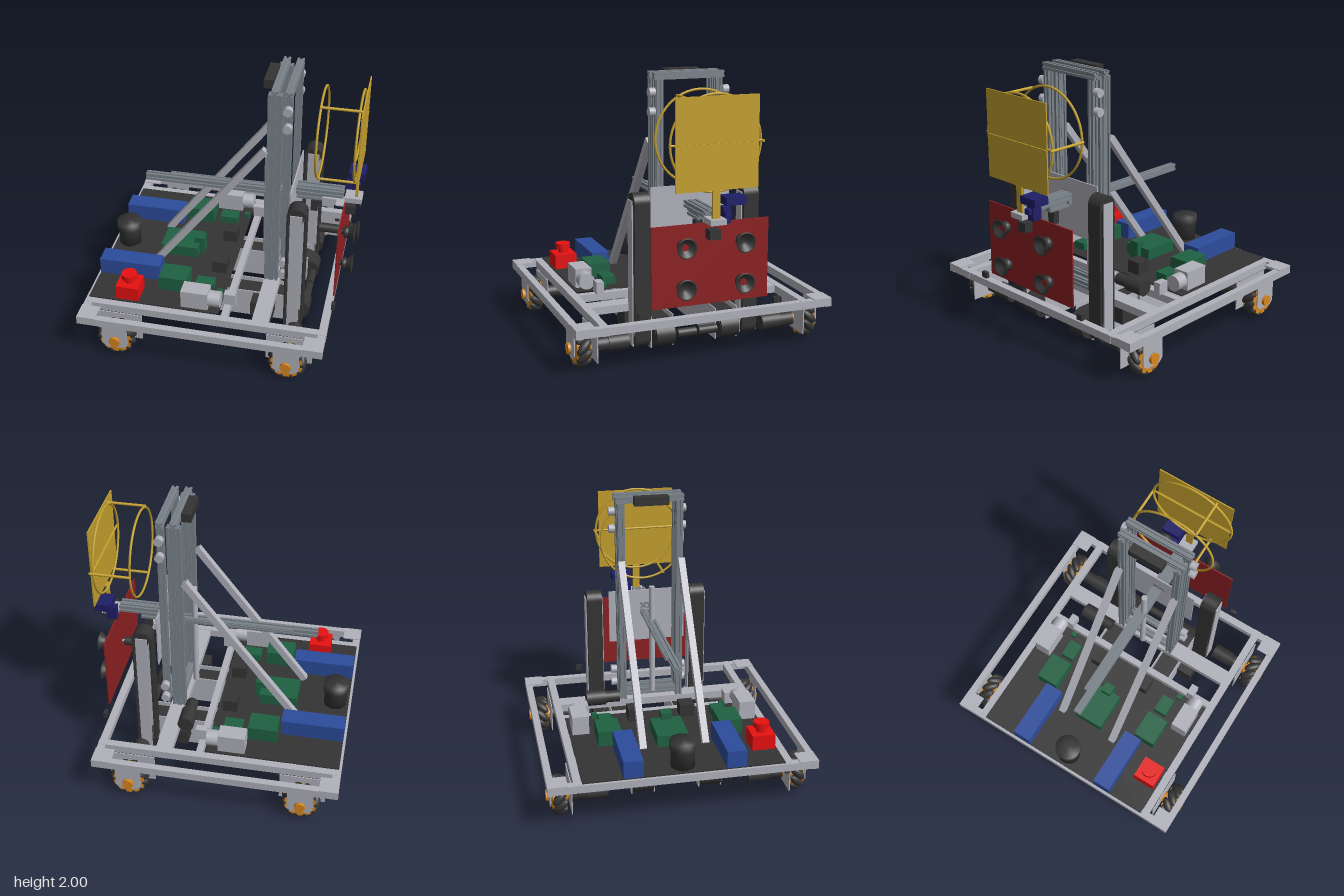
import * as THREE from 'three';

const paint = (name, color) => Object.assign(new THREE.MeshStandardMaterial({ color }), { name });

export function createModel() {
  const root = new THREE.Group();
  root.name = 'liftRobot';
  const alu = paint('lightAluminium', 0xb0b1ba), steel = paint('slottedSteel', 0x7a838a);
  const black = paint('blackRubber', 0x343434), maroon = paint('maroonPlate', 0x8c2022);
  const red = paint('signalRed', 0xe81010), blue = paint('batteryBlue', 0x2c4c9c);
  const green = paint('circuitGreen', 0x1f6142), gold = paint('goldFrame', 0xc4a02e);
  const navy = paint('servoNavy', 0x1e1e68), orange = paint('hubOrange', 0xd8861c);

  const add = (name, geo, mat, x = 0, y = 0, z = 0, parent = root) => {
    const mesh = new THREE.Mesh(geo, mat);
    mesh.name = name;
    mesh.position.set(x, y, z);
    parent.add(mesh);
    return mesh;
  };
  // Box given by its limits on each axis
  const box = (name, mat, x0, x1, y0, y1, z0, z1, parent) =>
    add(name, new THREE.BoxGeometry(x1 - x0, y1 - y0, z1 - z0), mat, (x0 + x1) / 2, (y0 + y1) / 2, (z0 + z1) / 2, parent);
  // Cylinder along an axis, centred on a point
  const turn = (geo, axis) => axis === 'x' ? geo.rotateZ(-Math.PI / 2) : axis === 'z' ? geo.rotateX(Math.PI / 2) : geo;
  const rod = (name, mat, axis, r, len, x, y, z, parent, r2 = r) =>
    add(name, turn(new THREE.CylinderGeometry(r2, r, len, 28), axis), mat, x, y, z, parent);
  // Slotted bar: square section with a groove in every side
  const slotted = (name, axis, size, len, x, y, z) => {
    const h = size / 2, g = size * 0.14, d = size * 0.22, pts = [];
    for (let i = 0; i < 4; i++) {
      for (const [a, b] of [[-h, -h], [-g, -h], [-g, -h + d], [g, -h + d], [g, -h]])
        pts.push(new THREE.Vector2(a, b).rotateAround(new THREE.Vector2(), i * Math.PI / 2));
    }
    const geo = new THREE.ExtrudeGeometry(new THREE.Shape(pts), { depth: len, bevelEnabled: false });
    geo.translate(0, 0, -len / 2);
    if (axis === 'x') geo.rotateY(Math.PI / 2);
    if (axis === 'y') geo.rotateX(-Math.PI / 2);
    return add(name, geo, steel, x, y, z);
  };
  // Closed belt loop lying along x, extruded in z
  const loopPath = (path, half, r) => {
    path.absarc(half, 0, r, -Math.PI / 2, Math.PI / 2, false);
    path.absarc(-half, 0, r, Math.PI / 2, Math.PI * 1.5, false);
    path.closePath();
    return path;
  };
  const beltGeo = (len, r, t, width) => {
    const s = loopPath(new THREE.Shape(), len / 2 - r, r);
    s.holes.push(loopPath(new THREE.Path(), len / 2 - r, r - t));
    return new THREE.ExtrudeGeometry(s, { depth: width, bevelEnabled: false, curveSegments: 14 }).translate(0, 0, -width / 2);
  };

  // Chassis frame
  for (const s of [1, -1]) {
    box('outerRail', alu, -0.97, 0.83, 0.295, 0.355, s * 0.935 - 0.025, s * 0.935 + 0.025);
    box('innerRail', alu, -0.95, 0.83, 0.295, 0.355, s * 0.75 - 0.028, s * 0.75 + 0.028);
    for (const [a, b] of [[-0.97, -0.83], [0.685, 0.83]])
      box('cornerPlate', alu, a, b, 0.352, 0.36, s * 0.89 - 0.07, s * 0.89 + 0.07);
  }
  for (const [a, b] of [[-0.968, -0.91], [-0.62, -0.57], [-0.27, -0.22], [0.05, 0.1], [0.28, 0.4], [0.772, 0.828]]) {
    const end = Math.abs(a) > 0.7 ? 0.93 : 0.73;
    box('crossRail', alu, a, b, 0.297, 0.353, -end, end);
  }
  box('deck', black, -0.95, 0.03, 0.354, 0.362, -0.72, 0.72);

  // Wheels with slanted rollers, brackets and drive motors
  for (const x of [-0.7, 0.57]) for (const s of [1, -1]) {
    const wheel = new THREE.Group();
    wheel.name = 'rollerWheel';
    wheel.position.set(x, 0.147, s * 0.86);
    root.add(wheel);
    rod('wheelCore', orange, 'z', 0.075, 0.09, 0, 0, 0, wheel);
    for (const e of [1, -1]) {
      rod('hubDisc', orange, 'z', 0.118, 0.006, 0, 0, e * 0.046, wheel);
      rod('hubBoss', orange, 'z', 0.04, 0.045, 0, 0, e * 0.07, wheel);
    }
    for (let i = 0; i < 10; i++) {
      const arm = new THREE.Group();
      arm.name = 'rollerMount';
      arm.rotation.z = i * Math.PI / 5;
      wheel.add(arm);
      const roller = add('roller', new THREE.SphereGeometry(1, 14, 10), black, 0, 0.11, 0, arm);
      roller.scale.set(0.032, 0.034, 0.07);
      roller.rotation.y = s * Math.sign(x) * Math.PI / 4;
    }
    const p = new THREE.Shape([[-0.095, 0.15], [-0.095, -0.03], [-0.065, -0.06], [0.065, -0.06], [0.095, -0.03], [0.095, 0.15]]
      .map(([a, b]) => new THREE.Vector2(a, b)));
    add('outerBracket', new THREE.ExtrudeGeometry(p, { depth: 0.008, bevelEnabled: false }), alu, x, 0.147, s * 0.926 - 0.004);
    rod('axleCap', steel, 'z', 0.04, 0.02, x, 0.147, s * 0.926);
    box('innerBracket', alu, x - 0.17, x + 0.17, 0.075, 0.295, s * 0.785 - 0.004, s * 0.785 + 0.004);
    rod('motorGearbox', black, 'z', 0.05, 0.11, x, 0.147, s * 0.715);
    rod('driveMotor', black, 'z', 0.06, 0.15, x, 0.147, s * 0.588);
  }

  // Floor belts, vertical belts and their side plates
  for (const s of [1, -1]) {
    add('floorBelt', beltGeo(1.32, 0.1, 0.014, 0.145), black, -0.04, 0.16, s * 0.247);
    for (const z of [0.165, 0.33]) box('floorBeltSide', alu, -0.66, 0.56, 0.06, 0.29, s * z - 0.004, s * z + 0.004);
    for (const x of [-0.64, 0.56]) rod('floorPulley', black, 'z', 0.085, 0.14, x, 0.16, s * 0.247);
    rod('beltMotor', black, 'z', 0.032, 0.14, 0.6, 0.16, s * 0.08);
    for (const x of [-0.21, 0.077]) box('hanger', alu, x - 0.01, x + 0.01, 0.13, 0.295, s * 0.35 - 0.012, s * 0.35 + 0.012);
    add('liftBelt', beltGeo(1.11, 0.07, 0.014, 0.115).rotateZ(Math.PI / 2), black, 0.54, 0.635, s * 0.41);
    for (const z of [0.347, 0.475]) box('liftBeltSide', alu, 0.497, 0.583, 0.1, 1.14, s * z - 0.004, s * z + 0.004);
    for (const y of [0.15, 1.12]) rod('liftPulley', black, 'z', 0.056, 0.112, 0.54, y, s * 0.41);
    box('beltDrive', black, 0.22, 0.39, 0.17, 0.293, s * 0.41 - 0.06, s * 0.41 + 0.06);
    for (const x of [-0.925, 0.717]) box('edgeSensor', black, x - 0.018, x + 0.018, 0.265, 0.295, s * 0.74 - 0.015, s * 0.74 + 0.015);
    box('frontSensor', black, 0.828, 0.855, 0.385, 0.43, s * 0.505 - 0.025, s * 0.505 + 0.025);
  }

  // Deck equipment
  for (const s of [1, -1]) {
    box('battery', blue, -0.95, -0.485, 0.362, 0.49, s * 0.365 - 0.07, s * 0.365 + 0.07);
    box('motorBoard', green, -0.465, -0.25, 0.362, 0.475, s * 0.45 - 0.085, s * 0.45 + 0.085);
    box('smallBoard', green, -0.2, -0.06, 0.362, 0.42, s * 0.435 - 0.05, s * 0.435 + 0.05);
    box('tinyBoard', green, -0.02, 0.02, 0.362, 0.4, s * 0.5 - 0.02, s * 0.5 + 0.02);
    box('pumpBody', alu, -0.255, -0.055, 0.362, 0.505, s * 0.635 - 0.062, s * 0.635 + 0.062);
    rod('pumpHead', alu, 'x', 0.06, 0.09, -0.012, 0.43, s * 0.635);
    box('pumpValve', alu, 0.045, 0.13, 0.355, 0.445, s * 0.565 - 0.028, s * 0.565 + 0.028);
    box('relayBox', black, -0.12, -0.01, 0.362, 0.46, s * 0.2 - 0.055, s * 0.2 + 0.055);
  }
  box('mainBoard', green, -0.56, -0.27, 0.362, 0.45, -0.12, 0.11);
  box('boardPort', green, -0.31, -0.23, 0.362, 0.5, -0.04, 0.04);
  const can = [[0, 0], [0.085, 0], [0.085, 0.13], [0.095, 0.135], [0.095, 0.2], [0, 0.2]].map(([a, b]) => new THREE.Vector2(a, b));
  add('scannerCan', new THREE.LatheGeometry(can, 32), black, -0.845, 0.362, 0);
  box('stopBox', red, -0.745, -0.575, 0.362, 0.475, 0.535, 0.705);
  rod('stopStem', red, 'y', 0.035, 0.04, -0.66, 0.493, 0.62);
  rod('stopButton', red, 'y', 0.058, 0.04, -0.66, 0.53, 0.62);
  rod('winchMotor', black, 'z', 0.06, 0.15, 0.22, 0.42, -0.455);
  rod('winchGearbox', black, 'z', 0.045, 0.11, 0.22, 0.42, -0.325);

  // Tower posts, cross bars, rollers and diagonal braces
  for (const s of [1, -1]) {
    for (const [x, y0, y1] of [[0.306, 0.355, 1.95], [0.358, 0.355, 1.95], [0.428, 0.37, 1.94]])
      slotted('towerPost', 'y', 0.05, y1 - y0, x, (y0 + y1) / 2, s * 0.222);
    for (const y of [0.45, 0.56, 1.72, 1.855]) rod('guideRoller', alu, 'z', 0.032, 0.045, 0.428, y, s * 0.275);
    const a = new THREE.Vector3(-0.58, 0.37, s * 0.23), b = new THREE.Vector3(0.27, 1.5, s * 0.23), d = b.clone().sub(a);
    const brace = add('brace', new THREE.BoxGeometry(d.length(), 0.05, 0.05), alu, (a.x + b.x) / 2, (a.y + b.y) / 2, a.z);
    brace.rotation.z = Math.atan2(d.y, d.x);
  }
  for (const x of [0.33, 0.428]) {
    slotted('topBar', 'z', 0.05, 0.52, x, 1.965, 0);
    slotted('bottomBar', 'z', 0.05, 0.4, x, 0.4, 0);
  }
  box('topController', black, 0.23, 0.3, 1.935, 2.0, -0.13, 0.13);
  rod('liftPiston', alu, 'y', 0.022, 0.87, 0.248, 0.865, 0);
  box('carriagePlate', alu, 0.462, 0.472, 0.78, 1.2, -0.3, 0.3);

  // Sliding arm
  slotted('slideArm', 'x', 0.052, 1.34, -0.01, 1.012, 0);
  slotted('slideRail', 'x', 0.025, 1, 0, 1.025, -0.04);
  for (const s of [1, -1]) slotted('frontArm', 'x', 0.05, 0.36, 0.64, 1.068, s * 0.026);
  box('armStop', black, 0.583, 0.632, 0.89, 0.98, -0.03, 0.03);
  rod('armMotor', black, 'x', 0.034, 0.155, 0.73, 0.727, 0);
  rod('armShaft', alu, 'x', 0.01, 0.03, 0.82, 0.727, 0);

  // Suction plate with four cups
  box('suctionPlate', maroon, 0.829, 0.839, 0.44, 1.012, -0.43, 0.435);
  for (const y of [0.585, 0.872]) for (const s of [1, -1]) {
    const cup = [[0.02, 0], [0.02, 0.02], [0.045, 0.022], [0.045, 0.045], [0.035, 0.055], [0.07, 0.09], [0.072, 0.098],
      [0.06, 0.095], [0.028, 0.06], [0, 0.06]].map(([r, h]) => new THREE.Vector2(r, h));
    add('suctionCup', turn(new THREE.LatheGeometry(cup, 28), 'x'), black, 0.838, y, s * 0.216);
    if ((y > 0.7) === (s > 0)) rod('cupSeal', maroon, 'x', 0.024, 0.006, 0.901, y, s * 0.216);
  }
  box('plateCamera', black, 0.84, 0.91, 0.905, 0.975, -0.038, 0.042);

  // Servo wrist
  box('wristBracket', alu, 0.83, 0.955, 1.015, 1.055, -0.06, 0.055);
  box('lowerServo', navy, 0.825, 0.9, 1.01, 1.12, -0.115, -0.06);
  box('lowerServoEar', navy, 0.9, 0.93, 1.06, 1.1, -0.105, -0.06);
  box('upperServo', navy, 0.84, 0.96, 1.145, 1.2, -0.205, -0.055);
  box('wristStem', gold, 0.905, 0.922, 1.05, 1.25, -0.028, 0.028);

  // Hoop cage and panel
  for (const x of [0.635, 0.902])
    add('hoop', new THREE.TorusGeometry(0.327, 0.009, 8, 64).rotateY(Math.PI / 2), gold, x, 1.563, 0);
  for (let i = 0; i < 3; i++) {
    const t = Math.PI + i * Math.PI * 2 / 3;
    rod('hoopRod', gold, 'x', 0.01, 0.3, 0.78, 1.563 + 0.335 * Math.sin(t), 0.335 * Math.cos(t));
  }
  for (const [a, b] of [[1.25, 1.562], [1.566, 1.88]]) box('hoopPanel', gold, 0.922, 0.931, a, b, -0.3, 0.3);
  rod('panelBar', gold, 'z', 0.008, 0.66, 0.91, 1.564, 0);
  return root;
}
